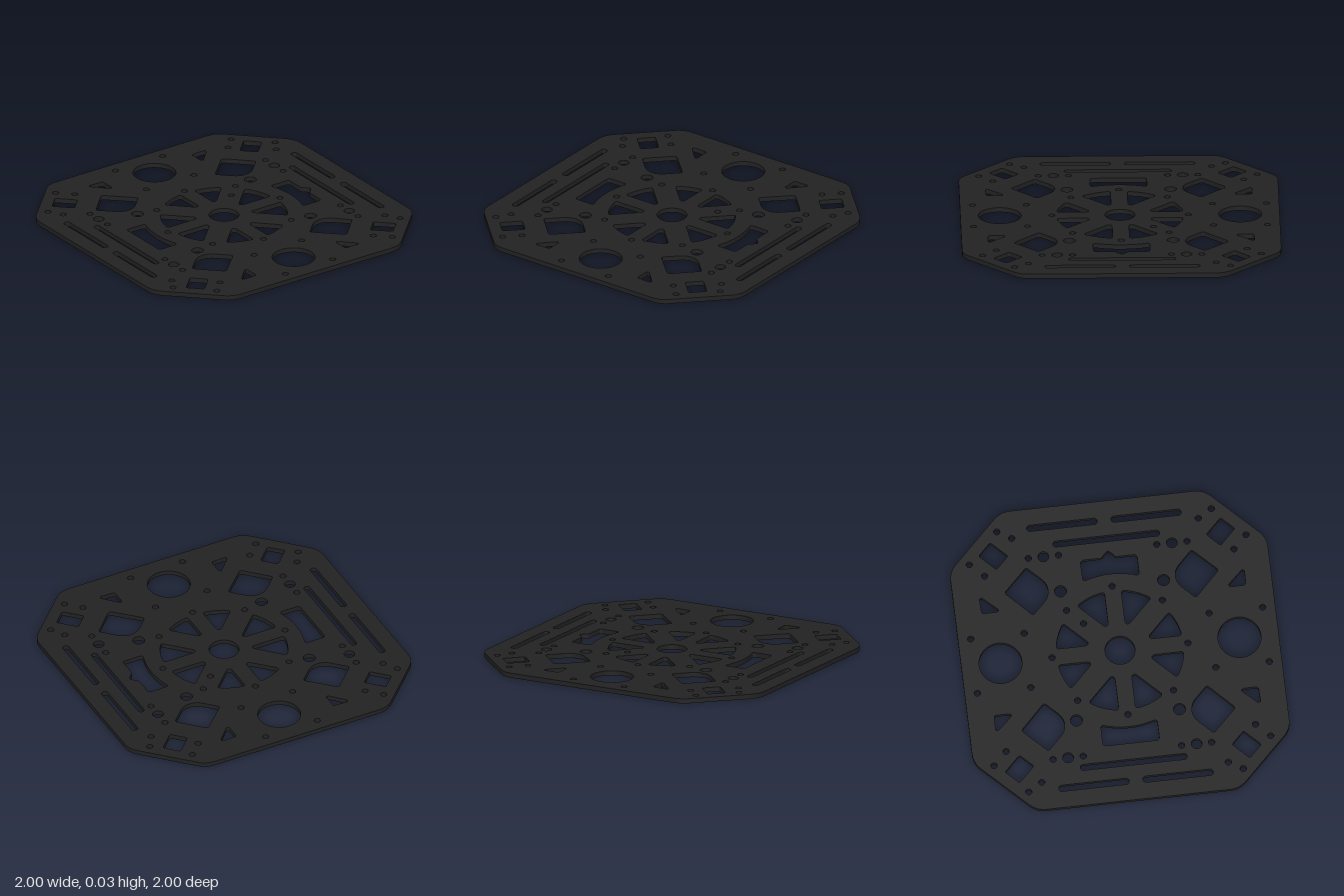
import * as THREE from 'three';
import { toCreasedNormals } from 'three/addons/utils/BufferGeometryUtils.js';

const THICKNESS = 0.03;

// Closed outline through [x, z, radius] corners, each rounded by a true arc.
function rounded(corners) {
  const pts = [];
  corners.forEach(([x, z, r = 0], i) => {
    const n = corners.length;
    const p = new THREE.Vector2(x, z);
    if (!r) { pts.push(p); return; }
    const [ax, az] = corners[(i + n - 1) % n];
    const [bx, bz] = corners[(i + 1) % n];
    const u = new THREE.Vector2(ax - x, az - z).normalize();
    const v = new THREE.Vector2(bx - x, bz - z).normalize();
    const half = Math.acos(u.dot(v)) / 2;
    const c = u.clone().add(v).normalize().multiplyScalar(r / Math.sin(half)).add(p);
    const t = r / Math.tan(half);
    const s = p.clone().addScaledVector(u, t).sub(c);
    const e = p.clone().addScaledVector(v, t).sub(c);
    const a0 = s.angle();
    let da = e.angle() - a0;
    if (da > Math.PI) da -= 2 * Math.PI;
    if (da < -Math.PI) da += 2 * Math.PI;
    const steps = Math.max(4, Math.ceil(Math.abs(da) / 0.2));
    for (let k = 0; k <= steps; k++) {
      const a = a0 + da * k / steps;
      pts.push(new THREE.Vector2(c.x + r * Math.cos(a), c.y + r * Math.sin(a)));
    }
  });
  return pts;
}

// Points along an arc about the centre; the two end corners are rounded.
function arc(radius, a0, a1, endRadius, steps = 8) {
  return Array.from({ length: steps + 1 }, (_, k) => {
    const a = a0 + (a1 - a0) * k / steps;
    return [radius * Math.cos(a), radius * Math.sin(a), k % steps ? 0 : endRadius];
  });
}

export function createModel() {
  // Octagonal outline with softened corners
  const C = 0.64, R = 0.14;
  const plate = new THREE.Shape(rounded([
    [C, -1, R], [1, -C, R], [1, C, R], [C, 1, R],
    [-C, 1, R], [-1, C, R], [-1, -C, R], [-C, -1, R],
  ]));

  const cut = (corners) => plate.holes.push(new THREE.Path(rounded(corners)));
  const drill = (x, z, r = 0.02) => {
    const hole = new THREE.Path();
    hole.absarc(x, z, r, 0, Math.PI * 2, true);
    plate.holes.push(new THREE.Path(hole.getPoints(r > 0.05 ? 24 : 10).slice(0, -1)));
  };
  const slot = (x, z0, z1, w = 0.02) =>
    cut([[x - w, z0, w * 0.99], [x + w, z0, w * 0.99], [x + w, z1, w * 0.99], [x - w, z1, w * 0.99]]);

  // Features repeated in all four quadrants
  const boltHoles = [
    [0.182, 0.92], [0.182, 0.583], [0.674, 0.872], [0.872, 0.676], [0.588, 0.786],
    [0.818, 0.588], [0.674, 0.5], [0.674, 0.31], [0.302, 0.302],
    [0.674, 0.405, 0.034], [0.433, 0.325, 0.038],
  ];
  const WEB = 0.053, HUB = 0.4;
  const start = Math.asin(WEB / HUB);
  const endFor = (d) => Math.PI / 4 - Math.asin(d / Math.SQRT2 / HUB);
  const wedge = (d) => [[WEB + d, WEB, 0.018], ...arc(HUB, start, endFor(d), 0.015)];
  const sideWedge = wedge(0.09);
  const endWedge = wedge(0.115).map(([x, z, r]) => [z, x, r]);

  // Corner window: rectangle turned along the diagonal
  const cornerWindow = [[-1, -1], [1, -1], [1, 1], [-1, 1]].map(([a, b]) => {
    const along = a * 0.072 / Math.SQRT2, across = b * 0.058 / Math.SQRT2;
    return [0.714 + along - across, 0.716 + along + across, 0.012];
  });
  const fanWindow = [[0.462, 0.676, 0.02], [0.615, 0.521, 0.014], [0.45, 0.357, 0.107], [0.294, 0.513, 0.014]];
  const triangle = [[0.341, 0.832, 0.014], [0.462, 0.836, 0.012], [0.341, 0.708, 0.012]];

  for (const sx of [1, -1]) {
    for (const sz of [1, -1]) {
      boltHoles.forEach(([x, z, r]) => drill(sx * x, sz * z, r));
      for (const window of [sideWedge, endWedge, cornerWindow, fanWindow, triangle]) {
        cut(window.map(([x, z, r]) => [sx * x, sz * z, r]));
      }
    }
  }

  // Long strap slots and side windows; the left window has a pointed notch
  const sweep = Math.asin(0.178 / 0.512);
  for (const s of [1, -1]) {
    slot(s * 0.872, -0.487, -0.043, 0.021);
    slot(s * 0.872, 0.043, 0.487, 0.021);
    slot(s * 0.749, -0.337, 0.337);
    const notch = s > 0
      ? [[0.623, 0.048], [0.63, 0.036], [0.642, 0.03], [0.664, 0.004], [0.664, -0.004], [0.642, -0.03], [0.63, -0.036], [0.623, -0.048]]
      : [];
    cut([
      [0.623, 0.178, 0.02], ...notch, [0.623, -0.178, 0.02],
      ...arc(0.512, -sweep, sweep, 0.015),
    ].map(([x, z, r]) => [s * x, z, r]));
  }

  // Holes on the centre lines, plus one off-pattern hole
  drill(0, 0, 0.094);
  for (const s of [1, -1]) {
    drill(0, s * 0.753, 0.135);
    drill(0, s * 0.428);
    drill(s * 0.43, 0);
  }
  drill(0.203, -0.207);

  // Lay the plate flat on the ground
  const geometry = new THREE.ExtrudeGeometry(plate, { depth: THICKNESS, bevelEnabled: false });
  geometry.rotateX(Math.PI / 2).translate(0, THICKNESS, 0);

  const mesh = new THREE.Mesh(
    toCreasedNormals(geometry, 0.6),
    new THREE.MeshStandardMaterial({ color: 0x222222 }),
  );
  mesh.name = 'framePlate';

  const group = new THREE.Group();
  group.name = 'perforatedPlate';
  group.add(mesh);
  return group;
}
